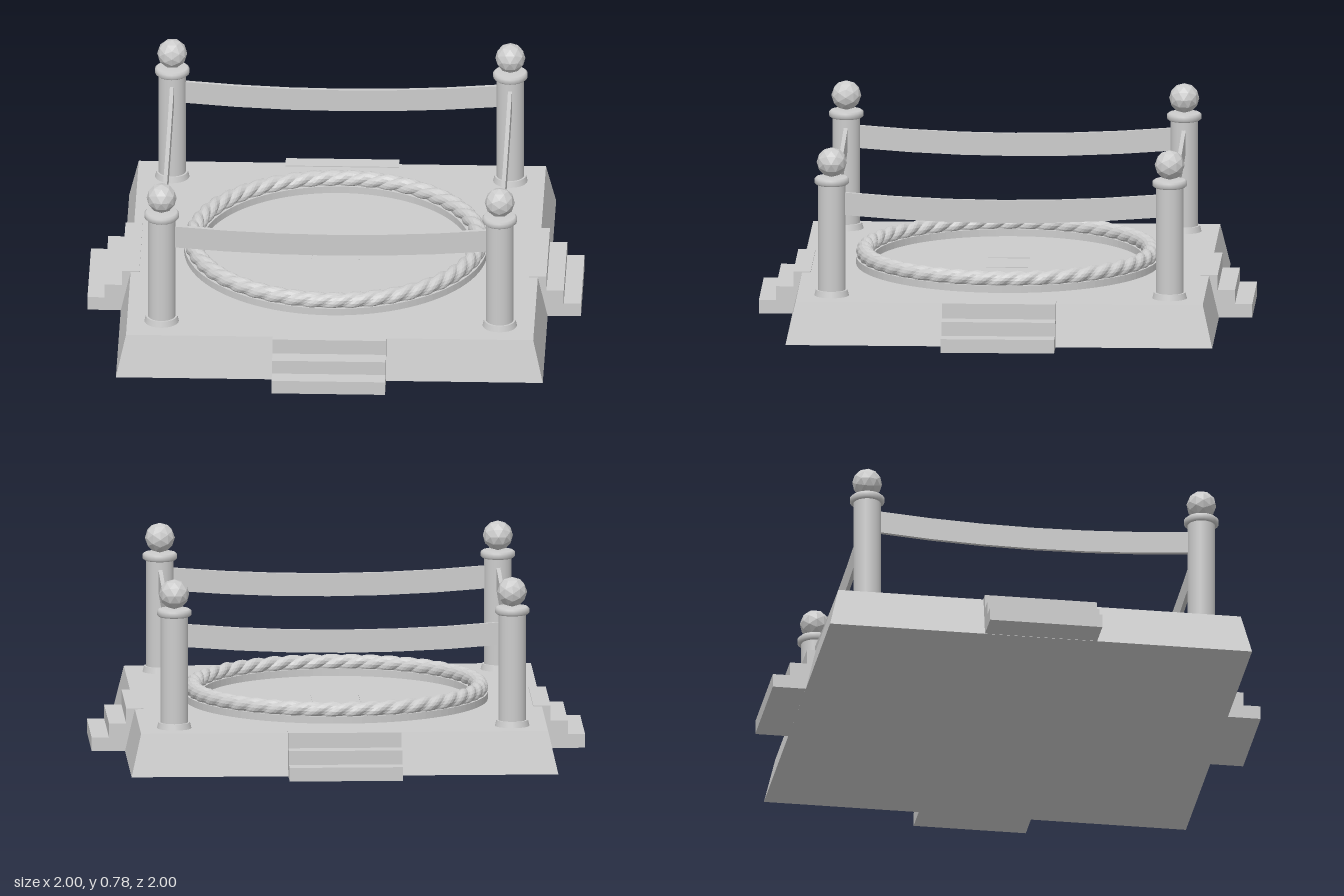
import * as THREE from 'three';

const grey = new THREE.MeshStandardMaterial({ color: 0xcccccc });
grey.name = 'plain grey';
const facetedGrey = grey.clone();
facetedGrey.flatShading = true;
facetedGrey.name = 'plain grey faceted';

const DECK = 0.172; // height of the platform top
const POST = 0.685; // distance of the posts from the centre lines

function add(parent, name, geometry, material = grey, x = 0, y = 0, z = 0) {
  const mesh = new THREE.Mesh(geometry, material);
  mesh.name = name;
  mesh.position.set(x, y, z);
  parent.add(mesh);
  return mesh;
}

// Square platform with sloping sides
function platformGeometry() {
  const g = new THREE.BoxGeometry(1.73, DECK, 1.73);
  const p = g.attributes.position;
  for (let i = 0; i < p.count; i++) {
    if (p.getY(i) > 0) {
      p.setX(i, Math.sign(p.getX(i)) * 0.825);
      p.setZ(i, Math.sign(p.getZ(i)) * 0.825);
    }
  }
  g.computeVertexNormals();
  return g;
}

// Stair block: stepped profile in z and y, extruded across its width
function stairGeometry() {
  const s = new THREE.Shape();
  s.moveTo(0.79, 0.001);
  [[1, 0.001], [1, 0.057], [0.93, 0.057], [0.93, 0.114], [0.86, 0.114], [0.86, 0.176], [0.79, 0.176]]
    .forEach(([z, y]) => s.lineTo(z, y));
  const g = new THREE.ExtrudeGeometry(s, { depth: 0.46, bevelEnabled: false });
  g.translate(0, 0, -0.23);
  g.rotateY(-Math.PI / 2);
  return g;
}

// Sagging rail panel between two posts
function railGeometry() {
  const half = 0.64;
  const g = new THREE.BoxGeometry(2 * half, 0.093, 0.016, 6, 1, 1);
  const p = g.attributes.position;
  for (let i = 0; i < p.count; i++) {
    const t = p.getX(i) / half;
    p.setY(i, p.getY(i) + 0.523 + 0.028 * t * t);
  }
  g.computeVertexNormals();
  return g;
}

// Closed rope ring with three strands twisted around each other
function ropeGeometry() {
  const around = 225, sides = 16, pos = [], index = [];
  for (let i = 0; i < around; i++) {
    const a = (i / around) * Math.PI * 2;
    for (let j = 0; j < sides; j++) {
      const b = (j / sides) * Math.PI * 2;
      const r = 0.027 + 0.009 * Math.abs(Math.cos(1.5 * b + 22.5 * a));
      const R = 0.58 + r * Math.cos(b);
      pos.push(R * Math.cos(a), r * Math.sin(b), R * Math.sin(a));
      const i2 = (i + 1) % around, j2 = (j + 1) % sides;
      const p = i * sides + j, q = i2 * sides + j, s = i2 * sides + j2, t = i * sides + j2;
      index.push(p, t, q, q, t, s);
    }
  }
  const g = new THREE.BufferGeometry();
  g.setAttribute('position', new THREE.Float32BufferAttribute(pos, 3));
  g.setIndex(index);
  g.computeVertexNormals();
  return g;
}

// Flat band under the rope
function bandGeometry() {
  const s = new THREE.Shape();
  s.absarc(0, 0, 0.615, 0, Math.PI * 2, false);
  const hole = new THREE.Path();
  hole.absarc(0, 0, 0.545, 0, Math.PI * 2, true);
  s.holes.push(hole);
  const g = new THREE.ExtrudeGeometry(s, { depth: 0.03, bevelEnabled: false, curveSegments: 48 });
  g.rotateX(-Math.PI / 2);
  return g;
}

// Corner post with foot, collar and ball
function makePost() {
  const post = new THREE.Group();
  post.name = 'cornerPost';
  add(post, 'foot', new THREE.CylinderGeometry(0.064, 0.07, 0.024, 24), grey, 0, DECK + 0.012, 0);
  add(post, 'shaft', new THREE.CylinderGeometry(0.056, 0.056, 0.47, 24), grey, 0, 0.41, 0);
  const collar = [[0, 0.63], [0.062, 0.63], [0.07, 0.637], [0.07, 0.654], [0.062, 0.661], [0, 0.661]];
  add(post, 'collar', new THREE.LatheGeometry(collar.map(([r, y]) => new THREE.Vector2(r, y)), 24));
  add(post, 'ball', new THREE.IcosahedronGeometry(0.061, 1), facetedGrey, 0, 0.721, 0);
  return post;
}

export function createModel() {
  const model = new THREE.Group();
  model.name = 'ropedRing';

  add(model, 'platform', platformGeometry(), grey, 0, DECK / 2, 0);
  add(model, 'ringBand', bandGeometry(), grey, 0, DECK - 0.001, 0);
  add(model, 'twistedRope', ropeGeometry(), facetedGrey, 0, 0.221, 0);

  // Starting marks in the middle of the ring
  for (const x of [-0.097, 0.097]) {
    add(model, 'startingMark', new THREE.BoxGeometry(0.005, 0.004, 0.17), grey, x, DECK + 0.001, 0);
  }

  // Stairs, rails and posts repeat on all four sides
  const stair = stairGeometry();
  const rail = railGeometry();
  for (let k = 0; k < 4; k++) {
    const side = new THREE.Group();
    side.name = 'side';
    side.rotation.y = (k * Math.PI) / 2;
    add(side, 'stairs', stair);
    add(side, 'rail', rail, grey, 0, 0, POST);
    const post = makePost();
    post.position.set(POST, 0, POST);
    side.add(post);
    model.add(side);
  }
  return model;
}
